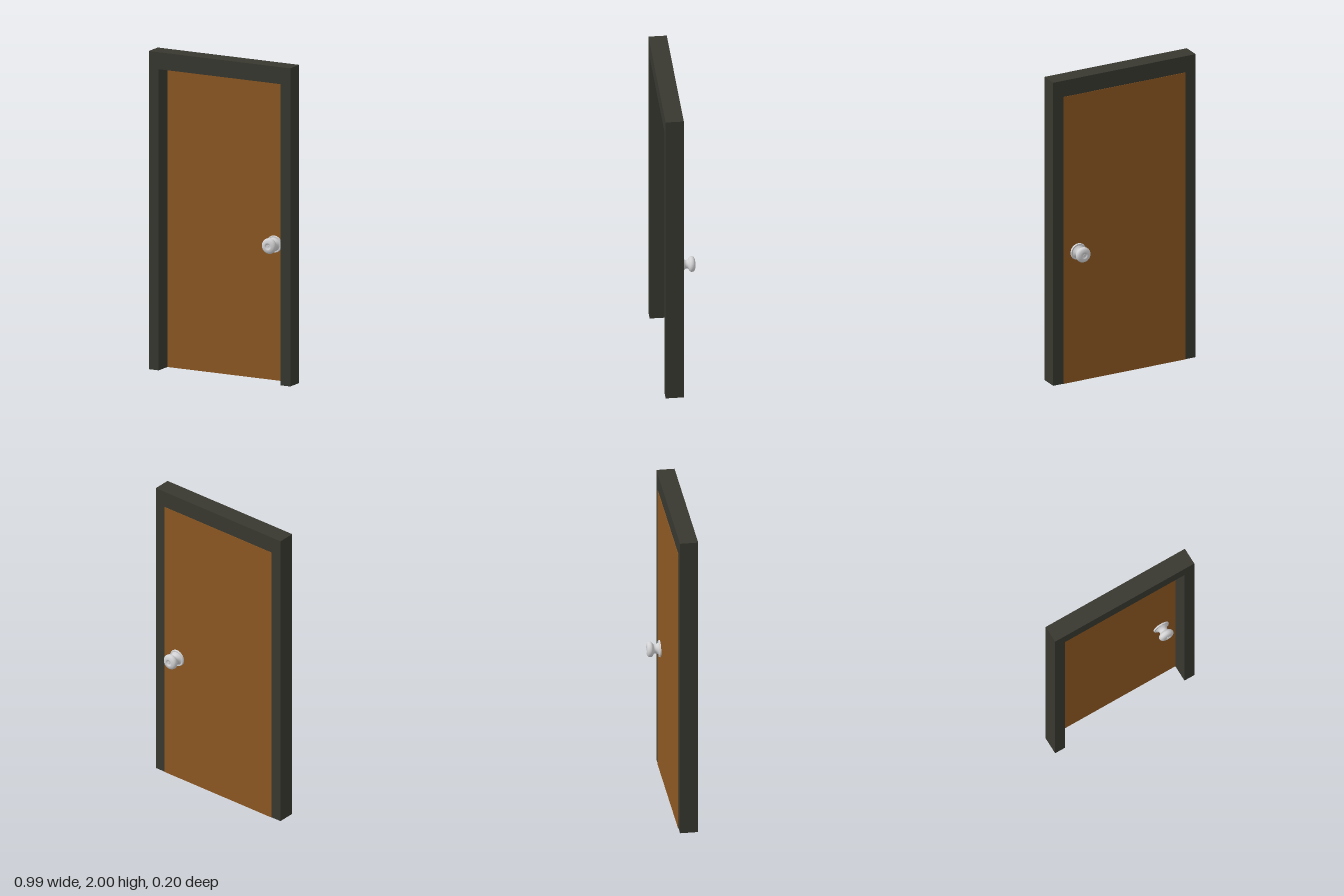
import * as THREE from 'three';

const DOOR_Z = -0.012; // middle plane of the door leaf

export function createModel() {
  const model = new THREE.Group();
  model.name = 'door';

  const material = (name, color) => {
    const m = new THREE.MeshStandardMaterial({ color });
    m.name = name;
    return m;
  };
  const darkFrame = material('dark frame', 0x383830);
  const brownWood = material('brown wood', 0x8c5722);
  const paleMetal = material('pale metal', 0xd2d2d4);

  const add = (parent, name, geometry, mat) => {
    const mesh = new THREE.Mesh(geometry, mat);
    mesh.name = name;
    parent.add(mesh);
    return mesh;
  };

  // Frame: one U-shaped outline, open at the floor
  const W = 0.497, I = 0.427, H = 2, T = 1.893;
  const outline = new THREE.Shape(
    [[-W, 0], [-I, 0], [-I, T], [I, T], [I, 0], [W, 0], [W, H], [-W, H]]
      .map(([x, y]) => new THREE.Vector2(x, y)));
  const frame = add(model, 'frame',
    new THREE.ExtrudeGeometry(outline, { depth: 0.1125, bevelEnabled: false }), darkFrame);
  frame.position.z = -0.0125;

  // Thin door leaf, almost flush with the back of the frame
  const leaf = add(model, 'doorLeaf', new THREE.BoxGeometry(2 * I, T, 0.006), brownWood);
  leaf.position.set(0, T / 2, DOOR_Z);

  // Knob profile: flared foot, narrow neck, flattened bulb, dimpled face
  const profile = new THREE.SplineCurve(
    [[0.044, 0.011], [0.033, 0.020], [0.027, 0.031], [0.029, 0.043], [0.039, 0.050],
      [0.047, 0.058], [0.049, 0.067], [0.046, 0.077], [0.038, 0.084], [0.025, 0.088],
      [0.018, 0.087], [0.014, 0.084], [0.007, 0.083], [0.0, 0.083]]
      .map(([r, d]) => new THREE.Vector2(r, d))).getPoints(42);
  profile.forEach((p) => { p.x = Math.max(p.x, 0); });
  const bulbGeometry = new THREE.LatheGeometry(profile, 40);
  const roseGeometry = new THREE.CylinderGeometry(0.051, 0.054, 0.009, 40);
  const pinGeometry = new THREE.CylinderGeometry(0.006, 0.006, 0.004, 16);

  // A matching knob on each side of the leaf
  for (const [name, side] of [['frontKnob', 1], ['backKnob', -1]]) {
    const knob = new THREE.Group();
    knob.name = name;
    add(knob, 'rosette', roseGeometry, paleMetal).position.y = 0.0075;
    add(knob, 'bulb', bulbGeometry, paleMetal);
    add(knob, 'centrePin', pinGeometry, paleMetal).position.y = 0.084;
    knob.position.set(0.324, 0.855, DOOR_Z);
    knob.rotation.x = side * Math.PI / 2;
    model.add(knob);
  }
  return model;
}
